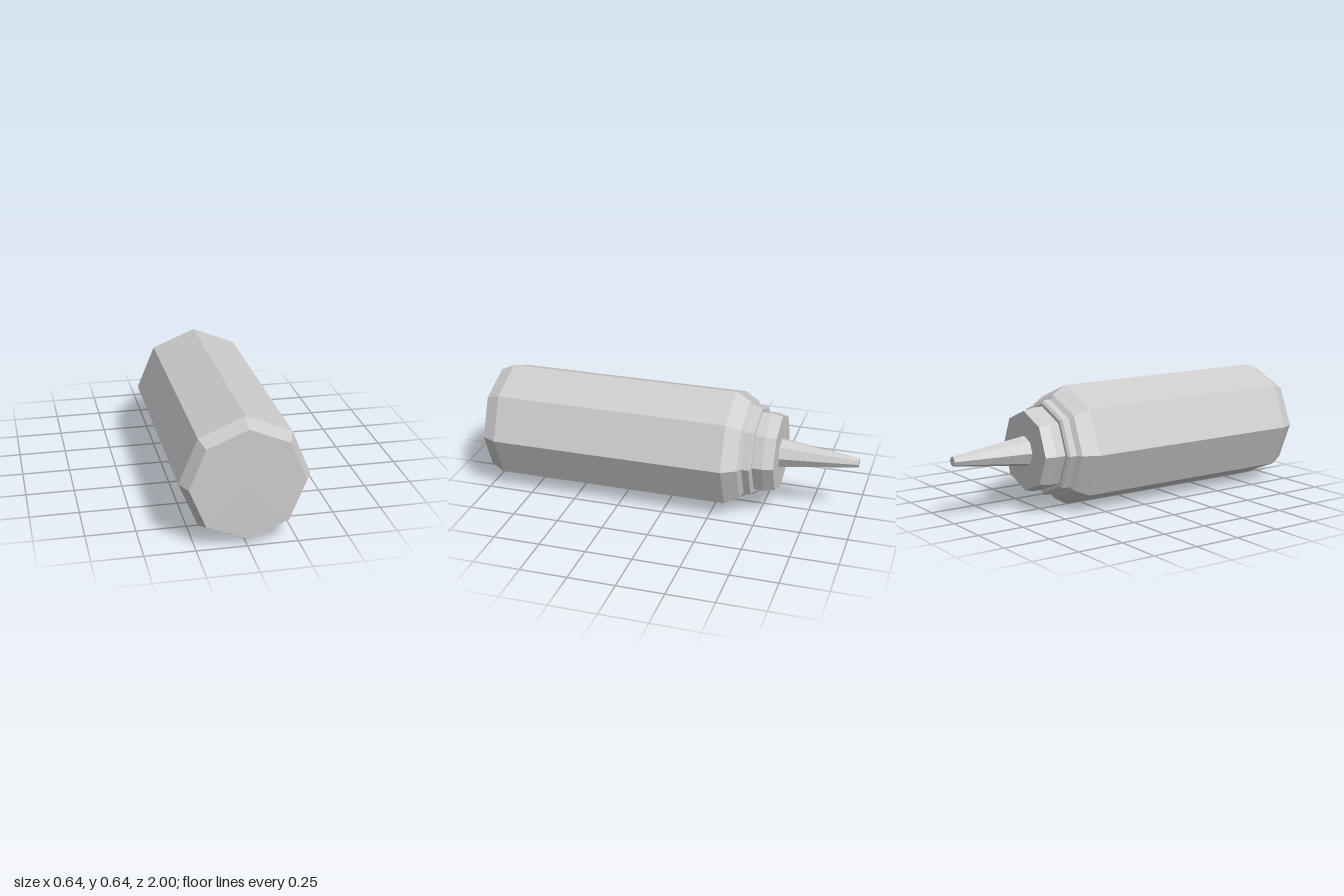
import * as THREE from 'three';

const SIDES = 8;
const RADIUS = 0.32;

// Faceted solid of revolution; profile points are [radius, distance towards the nozzle]
function turned(name, profile, material) {
  const points = profile.map(([r, d]) => new THREE.Vector2(r, d));
  const mesh = new THREE.Mesh(new THREE.LatheGeometry(points, SIDES), material);
  mesh.name = name;
  return mesh;
}

export function createModel() {
  const material = new THREE.MeshStandardMaterial({ color: 0xcccccc, flatShading: true });
  const bottle = new THREE.Group();
  bottle.name = 'squeezeBottle';

  // Body with chamfered base and sloped shoulder
  bottle.add(turned('body', [
    [0, -1], [0.284, -1], [RADIUS, -0.925], [RADIUS, 0.335],
    [0.277, 0.41], [0.24, 0.435], [0, 0.435],
  ], material));

  // Collar ring under the cap
  bottle.add(turned('collar', [
    [0, 0.43], [0.253, 0.43], [0.253, 0.467], [0.238, 0.477], [0, 0.477],
  ], material));

  // Screw cap, slightly tapered at the end
  bottle.add(turned('cap', [
    [0, 0.47], [0.221, 0.47], [0.221, 0.53], [0.209, 0.587], [0, 0.587],
  ], material));

  // Tapered nozzle
  bottle.add(turned('nozzle', [
    [0, 0.58], [0.081, 0.58], [0.025, 1], [0, 1],
  ], material));

  // Lay the bottle down with its nozzle to the back
  bottle.rotation.x = -Math.PI / 2;
  bottle.position.y = RADIUS;

  const model = new THREE.Group();
  model.add(bottle);
  return model;
}
